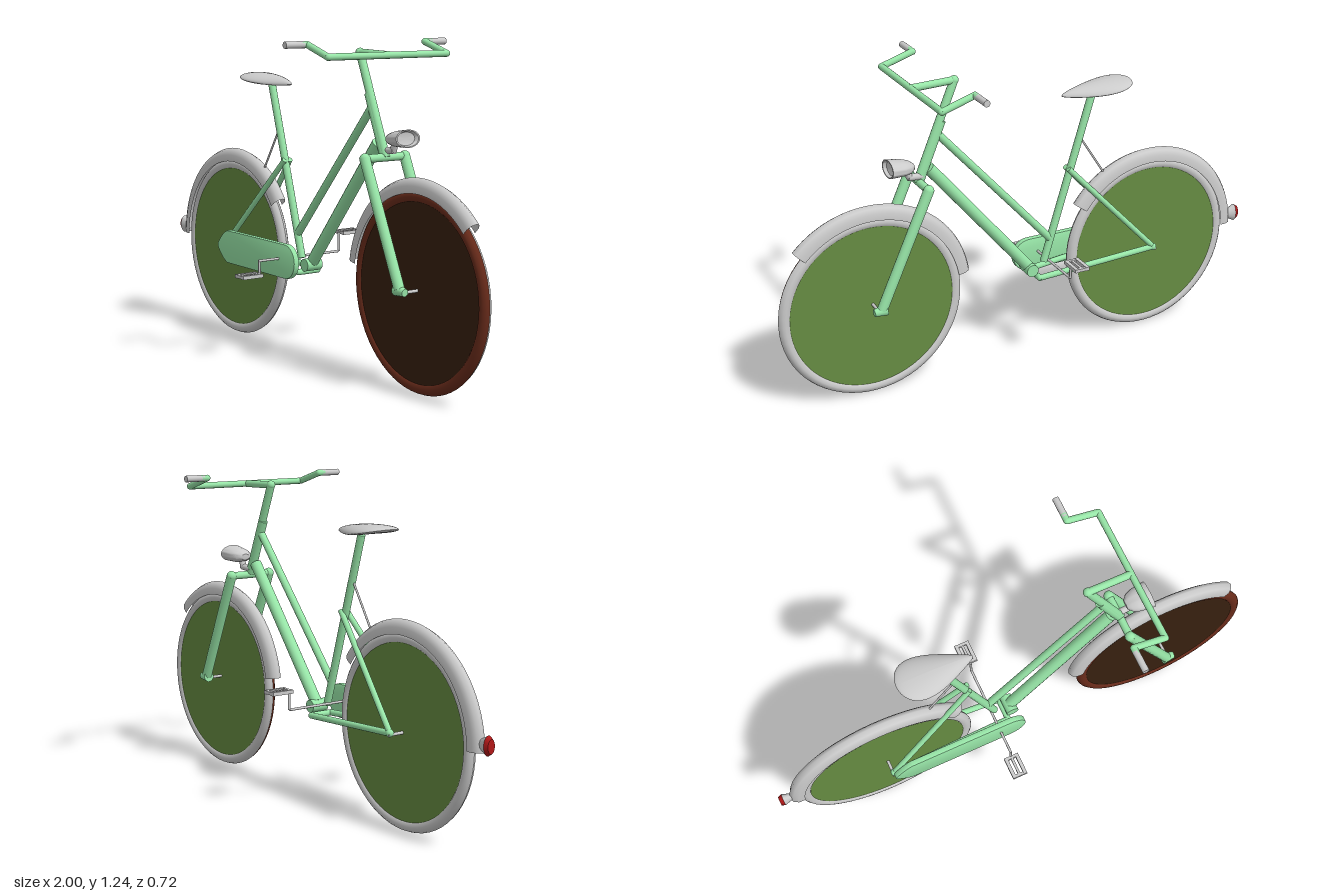
import * as THREE from 'three';
import { toCreasedNormals } from 'three/addons/utils/BufferGeometryUtils.js';

const mat = (color, side = THREE.FrontSide) => new THREE.MeshStandardMaterial({ color, side });
const grey = mat(0xcccccc);
const greyThin = mat(0xcccccc, THREE.DoubleSide);
const paint = mat(0x98e6a8);
const green = mat(0x668c42);
const darkBrown = mat(0x38200f);
const rust = mat(0x6a2c1b);
const red = mat(0xb01818);
const V = (x, y, z = 0) => new THREE.Vector3(x, y, z);
const R = 0.363;            // wheel radius
const REAR = -0.555, FRONT = 0.635;

export function createModel() {
  const model = new THREE.Group();
  model.name = 'bicycle';

  const add = (name, geometry, material, parent = model) => {
    const mesh = new THREE.Mesh(geometry, material);
    mesh.name = name;
    parent.add(mesh);
    return mesh;
  };
  // Straight tube between two points
  const tube = (name, a, b, r, material = paint, r2 = r, sides = 14) => {
    const dir = b.clone().sub(a);
    const mesh = add(name, new THREE.CylinderGeometry(r2, r, dir.length(), sides), material);
    mesh.position.copy(a).addScaledVector(dir, 0.5);
    mesh.quaternion.setFromUnitVectors(V(0, 1, 0), dir.normalize());
    return mesh;
  };
  // Round cap that closes a tube joint
  const joint = (name, p, r, material = paint) =>
    add(name, new THREE.SphereGeometry(r, 14, 10), material).position.copy(p);
  // Ring or arc swept about the wheel axis (z)
  const sweep = (profile, start = 0, length = Math.PI * 2, segments = 64) =>
    new THREE.LatheGeometry(profile.map(p => new THREE.Vector2(...p)), segments,
      start + Math.PI / 2, length).rotateX(Math.PI / 2);

  // Wheels: two tyre halves and two disc faces each
  const halfTyre = [[R, 0], [0.359, 0.01], [0.35, 0.018], [0.34, 0.02], [0.328, 0.018], [0.322, 0.012]];
  const wheel = (name, x, tyreColor, faceColor) => {
    const group = new THREE.Group();
    group.name = name;
    group.position.set(x, R, 0);
    model.add(group);
    add('tyreLeftHalf', sweep(halfTyre), tyreColor, group);
    add('tyreRightHalf', sweep(halfTyre.map(([r, z]) => [r, -z]).reverse()), grey, group);
    add('discLeft', new THREE.CircleGeometry(0.327, 64), faceColor, group).position.z = 0.014;
    const back = add('discRight', new THREE.CircleGeometry(0.327, 64), green, group);
    back.rotation.y = Math.PI;
    back.position.z = -0.014;
  };
  wheel('rearWheel', REAR, grey, green);
  wheel('frontWheel', FRONT, rust, darkBrown);

  // Mudguards
  const guard = [[0.352, -0.026], [0.378, -0.026], [0.397, -0.017], [0.406, 0],
    [0.397, 0.017], [0.378, 0.026], [0.352, 0.026]];
  const mudguard = (name, x, from, to) => add(name, sweep(guard,
    THREE.MathUtils.degToRad(from), THREE.MathUtils.degToRad(to - from), 48), greyThin).position.set(x, R, 0);
  mudguard('rearMudguard', REAR, 35, 179);
  mudguard('frontMudguard', FRONT, 44, 171);

  // Main frame
  tube('topTube', V(-0.115, 0.475), V(0.35, 0.995), 0.015);
  tube('downTube', V(-0.02, 0.375), V(0.39, 0.87), 0.023);
  tube('seatTube', V(-0.09, 0.38), V(-0.295, 1.045), 0.015);
  tube('bottomBracketShell', V(-0.025, 0.365, -0.035), V(-0.025, 0.365, 0.035), 0.025);
  tube('headTube', V(0.335, 1.045), V(0.425, 0.83), 0.018);
  tube('steererTube', V(0.28, 1.19), V(0.435, 0.822), 0.016);
  tube('lockRod', V(-0.35, 0.71), V(-0.247, 0.87), 0.004, grey);

  for (const s of [1, -1]) {
    // Rear triangle
    tube('seatStay', V(-0.19, 0.755, s * 0.012), V(-0.55, 0.37, s * 0.068), 0.011);
    tube('chainStay', V(-0.555, 0.368, s * 0.068), V(-0.05, 0.335, s * 0.045), 0.012);
    joint('rearDropout', V(-0.55, 0.368, s * 0.068), 0.015);
    joint('chainStayEnd', V(-0.05, 0.335, s * 0.045), 0.012);
    // Fork leg
    tube('forkLeg', V(0.43, 0.822, s * 0.09), V(0.628, 0.385, s * 0.088), 0.02);
    joint('forkShoulder', V(0.43, 0.822, s * 0.09), 0.02);
    tube('forkDropout', V(0.612, 0.382, s * 0.088), V(0.66, 0.378, s * 0.088), 0.022, paint, 0.014);
    // Handlebar grip
    tube('grip', V(0.325, 1.225, s * 0.28), V(0.325, 1.225, s * 0.36), 0.0125, grey);
  }
  tube('chainStayBridge', V(-0.05, 0.335, -0.045), V(-0.05, 0.335, 0.045), 0.012);
  tube('forkCrown', V(0.43, 0.822, -0.09), V(0.43, 0.822, 0.09), 0.015);
  tube('frontAxle', V(FRONT, R + 0.01, -0.095), V(FRONT, R + 0.01, 0.095), 0.006, grey);
  tube('rearAxle', V(REAR, R, -0.08), V(REAR, R, 0.08), 0.006, grey);

  // Handlebar: stem reach and a bar swept back and out
  tube('stem', V(0.28, 1.19), V(0.45, 1.186), 0.014);
  joint('stemCorner', V(0.28, 1.19), 0.017);
  const bends = [V(0.325, 1.225, 0.29), V(0.325, 1.225, 0.265), V(0.45, 1.186, 0.265)];
  const points = [...bends, ...bends.map(p => V(p.x, p.y, -p.z)).reverse()];
  points.slice(1).forEach((p, i) => {
    tube('handlebar', points[i], p, 0.0125);
    joint('handlebarBend', p, 0.0127);
  });

  // Chain case
  const outline = new THREE.Shape();
  outline.moveTo(-0.48, 0.312);
  outline.lineTo(-0.065, 0.312);
  outline.absarc(-0.065, 0.379, 0.067, -Math.PI / 2, Math.PI / 2, false);
  outline.lineTo(-0.48, 0.446);
  outline.quadraticCurveTo(-0.515, 0.435, -0.55, 0.39);
  outline.quadraticCurveTo(-0.56, 0.378, -0.55, 0.366);
  outline.quadraticCurveTo(-0.515, 0.322, -0.48, 0.312);
  const caseGeo = new THREE.ExtrudeGeometry(outline, { depth: 0.016, bevelThickness: 0.004,
    bevelSize: 0.004, bevelOffset: -0.004, bevelSegments: 2, curveSegments: 20 });
  add('chainCase', toCreasedNormals(caseGeo, 0.5), paint).position.z = 0.08;

  // Cranks and pedals
  const CX = -0.105, CY = 0.386;
  tube('crankAxle', V(CX, CY, -0.185), V(CX, CY, 0.192), 0.005, grey);
  for (const [s, py] of [[1, 0.333], [-1, 0.461]]) {
    tube('crankArm', V(CX, CY, s * 0.188), V(CX, py, s * 0.188), 0.005, grey);
    const pedal = new THREE.Group();
    pedal.name = 'pedal';
    pedal.position.set(CX, py, s * 0.235);
    model.add(pedal);
    for (const e of [-1, 1]) {
      add('pedalRail', new THREE.BoxGeometry(0.014, 0.014, 0.09), grey, pedal).position.x = e * 0.023;
      add('pedalEnd', new THREE.BoxGeometry(0.06, 0.012, 0.012), grey, pedal).position.z = e * 0.039;
    }
    add('pedalSpindle', new THREE.BoxGeometry(0.01, 0.01, 0.09), grey, pedal);
  }

  // Saddle: ellipsoid tapered to the nose, with a flatter underside
  const seat = new THREE.SphereGeometry(1, 36, 24).rotateZ(-Math.PI / 2);
  const pos = seat.attributes.position;
  for (let i = 0; i < pos.count; i++) {
    const s = pos.getX(i), y = pos.getY(i), z = pos.getZ(i);
    pos.setXYZ(i, -0.31 + 0.147 * s,
      1.064 - 0.012 * s + y * (y > 0 ? 0.022 : 0.016) - 0.01 * z * z,
      z * (0.072 - 0.046 * s));
  }
  seat.computeVertexNormals();
  add('saddle', seat, grey);

  // Headlight: flared oval bowl with a recessed lens, on a bracket
  const bowl = [[0, 0], [0.018, 0.002], [0.034, 0.018], [0.043, 0.045], [0.047, 0.08],
    [0.049, 0.1], [0.043, 0.1], [0.036, 0.088], [0, 0.082]];
  const lampGeo = new THREE.LatheGeometry(bowl.map(p => new THREE.Vector2(...p)), 32);
  lampGeo.rotateZ(-Math.PI / 2).scale(1, 0.66, 1.1);
  const lamp = add('headlight', toCreasedNormals(lampGeo, 0.7), grey);
  lamp.position.set(0.452, 0.89, -0.007);
  lamp.rotation.z = 0.08;
  tube('headlightBracket', V(0.415, 0.845, -0.005), V(0.475, 0.85, -0.007), 0.013, grey);
  tube('headlightPost', V(0.468, 0.848, -0.007), V(0.482, 0.885, -0.007), 0.013, grey);

  // Rear lamp: housing on the mudguard with a red lens
  tube('rearLampHousing', V(-0.95, 0.4), V(-0.985, 0.4), 0.018, grey, 0.036, 24).scale.z = 0.6;
  tube('rearLampLens', V(-0.985, 0.4), V(-1, 0.4), 0.036, red, 0.026, 24).scale.z = 0.6;

  return model;
}
